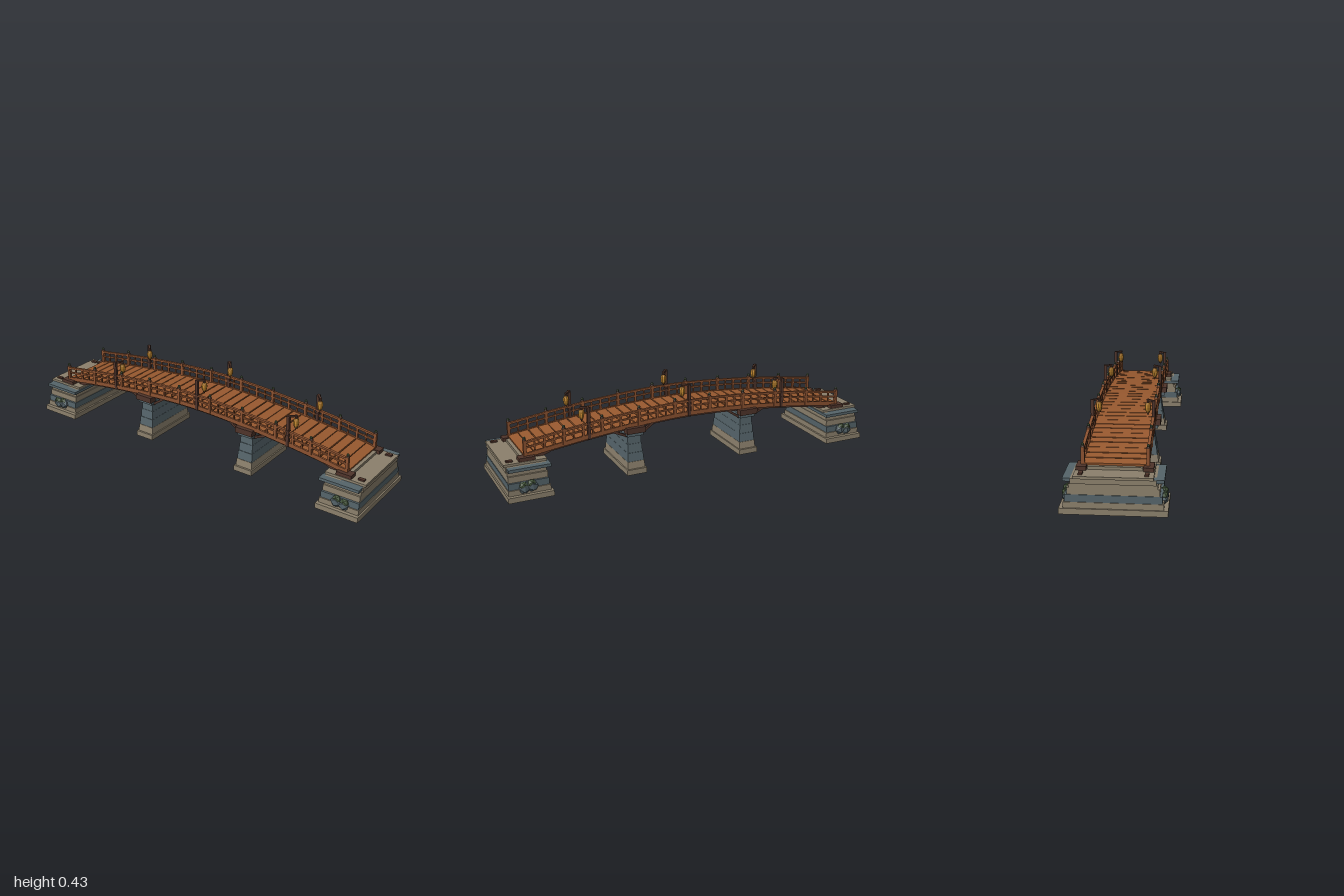
import * as THREE from 'three';

const mat = (name, color) => {
  const m = new THREE.MeshStandardMaterial({ color, flatShading: true });
  m.name = name;
  return m;
};

export function createModel() {
  const M = {
    tan: mat('tan stone', 0x8b806c),
    slate: mat('slate stone', 0x55646a),
    plank: mat('plank wood', 0x98592f),
    rail: mat('rail wood', 0x8c5230),
    dark: mat('dark wood', 0x4f342a),
    gold: mat('lantern gold', 0xc58a30),
    moss: mat('moss', 0x44563a),
  };
  const model = new THREE.Group();
  model.name = 'archedBridge';

  const add = (parent, name, geo, m, x = 0, y = 0, z = 0) => {
    const mesh = new THREE.Mesh(geo, m);
    mesh.name = name;
    mesh.position.set(x, y, z);
    parent.add(mesh);
    return mesh;
  };
  const box = (parent, name, m, w, h, d, x, y, z) =>
    add(parent, name, new THREE.BoxGeometry(w, h, d), m, x, y, z);
  // beam between two points in an x-y plane
  const strut = (parent, name, m, x0, y0, x1, y1, z, h, d) => {
    const b = box(parent, name, m, Math.hypot(x1 - x0, y1 - y0), h, d, (x0 + x1) / 2, (y0 + y1) / 2, z);
    b.rotation.z = Math.atan2(y1 - y0, x1 - x0);
    return b;
  };
  // block whose sides taper towards the top
  const taper = (parent, name, m, w0, w1, d0, d1, y0, y1, x) => {
    const g = new THREE.BoxGeometry(1, y1 - y0, 1);
    const p = g.attributes.position;
    for (let i = 0; i < p.count; i++) {
      const top = p.getY(i) > 0;
      p.setX(i, p.getX(i) * (top ? w1 : w0));
      p.setZ(i, p.getZ(i) * (top ? d1 : d0));
    }
    g.computeVertexNormals();
    return add(parent, name, g, m, x, (y0 + y1) / 2, 0);
  };

  // height of the walking surface along the bridge
  const L = 0.89;
  const deckY = (x) => 0.278 - 0.082 * Math.pow(Math.abs(x) / L, 1.7);
  const slope = (x) => Math.atan2(deckY(x + 0.01) - deckY(x - 0.01), 0.02);
  // beam that follows the arch, between two offsets from the surface
  const archBeam = (name, m, lo, hi, z, d, half = L) => {
    const s = new THREE.Shape();
    const n = 36;
    for (let i = 0; i <= n; i++) {
      const x = -half + (2 * half * i) / n;
      if (i) s.lineTo(x, deckY(x) + lo);
      else s.moveTo(x, deckY(x) + lo);
    }
    for (let i = n; i >= 0; i--) {
      const x = -half + (2 * half * i) / n;
      s.lineTo(x, deckY(x) + hi);
    }
    const g = new THREE.ExtrudeGeometry(s, { depth: d, bevelEnabled: false });
    add(model, name, g, m, 0, 0, z - d / 2);
  };

  // deck planks with narrow gaps
  const count = 34;
  const pitch = (2 * L) / count;
  for (let i = 0; i < count; i++) {
    const x = -L + pitch * (i + 0.5);
    const gap = i % 3 === 1 ? 0.009 : 0.003;
    const p = box(model, 'deckPlank', M.plank, pitch - gap, 0.012, 0.28, x, deckY(x) - 0.006, 0);
    p.rotation.z = slope(x);
  }
  for (const z of [-0.125, 0, 0.125]) archBeam('stringer', M.dark, -0.029, -0.012, z, 0.018);

  // railings on both sides
  for (const s of [-1, 1]) {
    const z = s * 0.142;
    archBeam('fascia', M.rail, -0.018, 0.004, z, 0.01);
    archBeam('midRail', M.rail, 0.028, 0.036, z, 0.009);
    archBeam('topRail', M.rail, 0.055, 0.065, z, 0.014);
    for (let i = 0; i <= 36; i++) {
      const x = -0.883 + (1.766 * i) / 36;
      const y = deckY(x);
      if (i % 4 === 0) {
        box(model, 'railPost', M.rail, 0.015, 0.085, 0.016, x, y + 0.03, z);
        add(model, 'postCap', new THREE.CylinderGeometry(0.006, 0.01, 0.006, 6), M.dark, x, y + 0.075, z);
        add(model, 'postKnob', new THREE.IcosahedronGeometry(0.008, 0), M.moss, x, y + 0.082, z);
      } else if (i % 2 === 0) {
        box(model, 'baluster', M.rail, 0.011, 0.06, 0.01, x, y + 0.027, z);
      } else {
        box(model, 'slimBaluster', M.rail, 0.007, 0.06, 0.007, x, y + 0.027, z);
      }
    }
  }

  // lantern posts: tall middle pair, lower outer pairs
  const profile = [[0, -0.026], [0.008, -0.024], [0.013, -0.014], [0.015, 0], [0.014, 0.013], [0.009, 0.023], [0, 0.025]]
    .map(([r, y]) => new THREE.Vector2(r, y));
  for (const [x, top] of [[-0.53, 0.385], [0.018, 0.425], [0.56, 0.385]]) {
    for (const s of [-1, 1]) {
      const g = new THREE.Group();
      g.name = 'lanternPost';
      g.position.set(x, top, s * 0.143);
      const h = top - deckY(x) + 0.02;
      box(g, 'post', M.dark, 0.015, h, 0.015, 0, -h / 2, 0);
      for (const k of [0.08, 0.105]) box(g, 'postBand', M.dark, 0.019, 0.006, 0.019, 0, -k, 0);
      const arm = box(g, 'arm', M.dark, 0.048, 0.008, 0.01, 0.013, -0.004, -s * 0.014);
      arm.rotation.y = s * Math.atan2(0.028, 0.026);
      const lamp = new THREE.Group();
      lamp.name = 'lantern';
      lamp.position.set(0.026, -0.04, -s * 0.028);
      add(lamp, 'lanternBody', new THREE.LatheGeometry(profile, 8), M.gold);
      for (const y of [-0.025, 0.025])
        add(lamp, 'lanternRim', new THREE.CylinderGeometry(0.008, 0.008, 0.005, 8), M.dark, 0, y, 0);
      add(lamp, 'hanger', new THREE.CylinderGeometry(0.0015, 0.0015, 0.014, 5), M.dark, 0, 0.032, 0);
      add(lamp, 'tassel', new THREE.CylinderGeometry(0.003, 0.0015, 0.012, 5), M.dark, 0, -0.032, 0);
      g.add(lamp);
      model.add(g);
    }
  }

  // river piers with timber caps and braces
  for (const s of [-1, 1]) {
    const x = s * 0.32;
    const pier = new THREE.Group();
    pier.name = 'pier';
    model.add(pier);
    box(pier, 'pierFooting', M.tan, 0.107, 0.028, 0.34, x, 0.014, 0);
    taper(pier, 'pierPlinth', M.tan, 0.094, 0.09, 0.32, 0.31, 0.028, 0.065, x);
    taper(pier, 'pierLower', M.slate, 0.088, 0.082, 0.306, 0.295, 0.065, 0.11, x);
    taper(pier, 'pierMiddle', M.slate, 0.08, 0.075, 0.29, 0.28, 0.11, 0.155, x);
    taper(pier, 'pierUpper', M.slate, 0.073, 0.07, 0.276, 0.27, 0.155, 0.2, x);
    box(pier, 'pierCap', M.slate, 0.086, 0.02, 0.31, x, 0.21, 0);
    for (const t of [-1, 1]) {
      box(pier, 'bearingBlock', M.dark, 0.1, 0.03, 0.04, x, 0.233, t * 0.148);
      for (const u of [-1, 1]) {
        const x1 = x + u * 0.105;
        strut(pier, 'brace', M.dark, x + u * 0.036, 0.198, x1, deckY(x1) - 0.026, t * 0.125, 0.012, 0.014);
      }
    }
    box(pier, 'crossBeam', M.dark, 0.06, 0.018, 0.3, x, 0.228, 0);
  }

  // stepped stone abutments: bottom, top, half depth, inner x, outer x, colour
  const courses = [
    [0, 0.027, 0.235, 0.775, 1, 'tan'],
    [0.027, 0.054, 0.216, 0.785, 0.993, 'tan'],
    [0.054, 0.087, 0.21, 0.79, 0.99, 'slate'],
    [0.087, 0.118, 0.199, 0.793, 0.987, 'tan'],
    [0.118, 0.136, 0.19, 0.796, 0.987, 'tan'],
    [0.136, 0.16, 0.184, 0.793, 0.992, 'tan'],
    [0.145, 0.16, 0.218, 0.778, 0.987, 'slate'],
    [0.16, 0.172, 0.172, 0.785, 0.998, 'tan'],
    [0.172, 0.186, 0.12, 0.83, 0.905, 'tan'],
  ];
  for (const s of [-1, 1]) {
    const ab = new THREE.Group();
    ab.name = 'abutment';
    model.add(ab);
    for (const [y0, y1, z, a, b, c] of courses)
      box(ab, 'stoneCourse', M[c], b - a, y1 - y0, z * 2, (s * (a + b)) / 2, (y0 + y1) / 2, 0);
    for (const t of [-1, 1]) {
      box(ab, 'sillBlock', M.dark, 0.08, 0.018, 0.045, s * 0.88, 0.181, t * 0.146);
      box(ab, 'anchorBlock', M.dark, 0.032, 0.008, 0.018, s * 0.962, 0.176, t * 0.142);
      strut(ab, 'endBrace', M.dark, s * 0.83, 0.164, s * 0.75, deckY(0.75) - 0.024, t * 0.125, 0.012, 0.014);
      // boulders and moss against the side walls
      for (const [x, y, r] of [[0.915, 0.056, 0.03], [0.875, 0.062, 0.031]]) {
        const rock = add(ab, 'boulder', new THREE.IcosahedronGeometry(r, 0), M.slate, s * x, y, t * 0.212);
        rock.scale.z = 0.75;
        rock.rotation.z = x * 7;
        const moss = add(ab, 'mossPatch', new THREE.IcosahedronGeometry(r * 0.75, 0), M.moss, s * (x + 0.004), y + 0.013, t * 0.214);
        moss.scale.z = 0.8;
      }
    }
  }
  return model;
}
